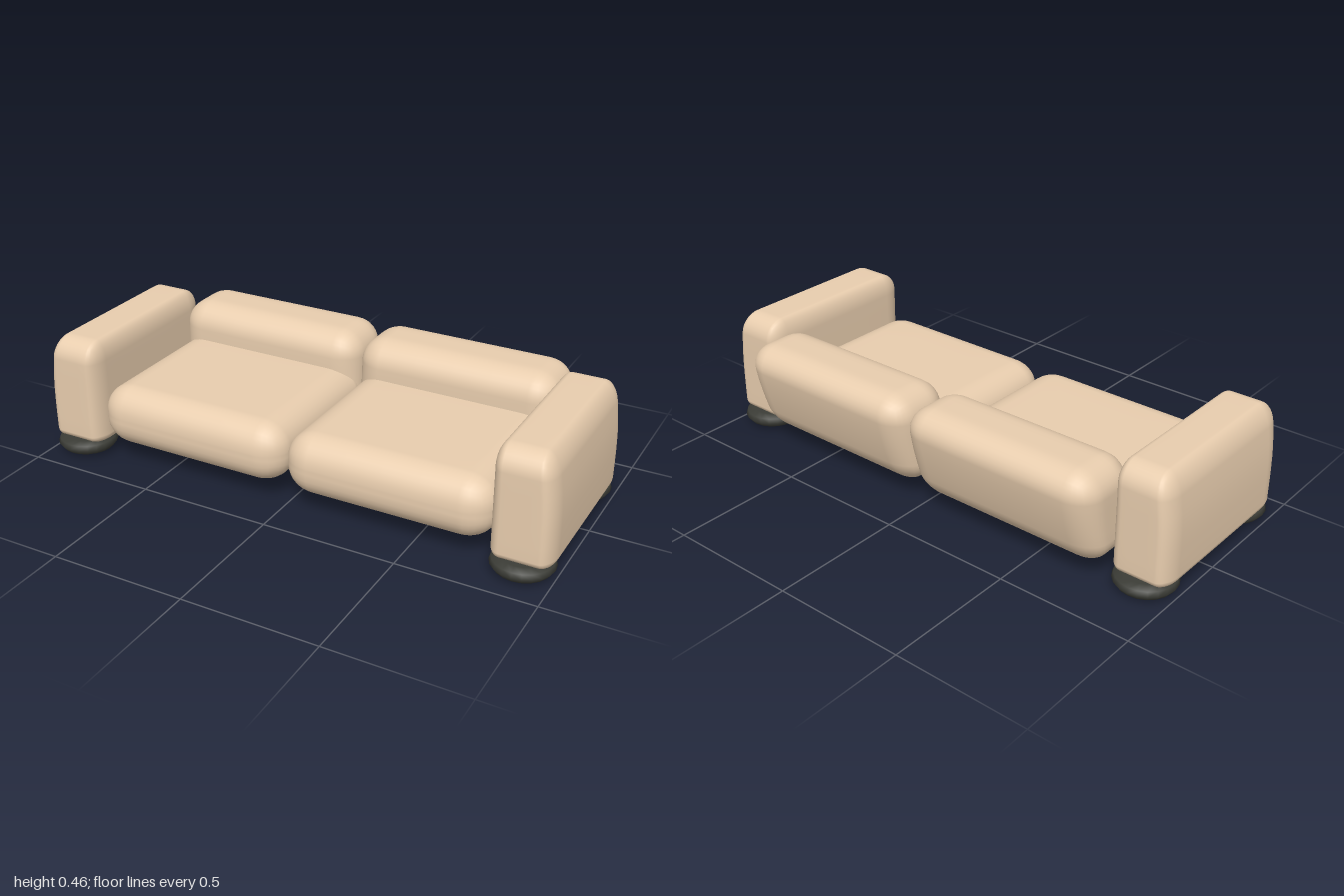
import * as THREE from 'three';
import { mergeVertices } from 'three/addons/utils/BufferGeometryUtils.js';

const fabric = new THREE.MeshStandardMaterial({ color: 0xe8cdae });
const rubber = new THREE.MeshStandardMaterial({ color: 0x3b3c36 });

const CORNER = 4; // steps in each rounded edge
const FLAT = 4;   // steps across each flat span
const STEPS = CORNER * 2 + FLAT;

// Splits a grid coordinate (-1..1) into a flat position and a rounding amount, both -1..1
function split(u) {
  const i = Math.round((u + 1) / 2 * STEPS) - STEPS / 2;
  const half = FLAT / 2;
  const flat = THREE.MathUtils.clamp(i, -half, half);
  return [flat / half, Math.tan((i - flat) / CORNER * Math.PI / 4)];
}

// Upholstered block between two corners, with edge radii per axis and a reshaping rule
function cushion(name, min, max, radius, reshape) {
  const box = new THREE.BoxGeometry(2, 2, 2, STEPS, STEPS, STEPS);
  box.deleteAttribute('normal');
  box.deleteAttribute('uv');
  const geometry = mergeVertices(box);
  const pos = geometry.attributes.position;
  const v = new THREE.Vector3();
  const n = new THREE.Vector3();
  for (let i = 0; i < pos.count; i++) {
    v.fromBufferAttribute(pos, i);
    const parts = v.toArray().map(split);
    n.fromArray(parts.map((p) => p[1])).normalize();
    const p = parts.map(([flat], a) => {
      const middle = (min[a] + max[a]) / 2;
      const core = (max[a] - min[a]) / 2 - radius[a];
      return middle + core * flat + radius[a] * n.getComponent(a);
    });
    v.fromArray(p);
    if (reshape) reshape(v, n);
    pos.setXYZ(i, v.x, v.y, v.z);
  }
  geometry.computeVertexNormals();
  const mesh = new THREE.Mesh(geometry, fabric);
  mesh.name = name;
  return mesh;
}

// Back cushion is thinner at the bottom, its rear sloping forward
function taperBack(v) {
  const front = -0.16;
  const t = THREE.MathUtils.clamp((v.y - 0.07) / 0.367, 0, 1);
  v.z = front + (v.z - front) * (1 - 0.34 * Math.pow(1 - t, 1.6));
}

// Arm has tight bottom edges and an outer face leaning in towards the top
function shapeArm(v, n) {
  const bottom = 0.058, r = 0.08;
  if (n.y < 0) {
    const flat = Math.hypot(n.x, n.z);
    if (flat > 1e-4) {
      const grow = (0.65 + 0.35 * flat) / flat - 1;
      v.x += 0.04 * n.x * grow;
      v.z += r * n.z * grow;
    }
    v.y = bottom + (v.y - bottom) * 0.4;
  }
  const outer = (v.x - 0.775) / 0.225;
  const t = THREE.MathUtils.clamp((v.y - 0.2) / 0.26, 0, 1);
  v.x -= 0.03 * outer * t * t;
}

// Squat round foot
const footProfile = [[0, 0], [0.058, 0], [0.098, 0.016], [0.112, 0.035], [0.106, 0.053], [0.08, 0.064], [0, 0.066]]
  .map(([x, y]) => new THREE.Vector2(x, y));
const footGeometry = new THREE.LatheGeometry(footProfile, 20);

function foot(name, z) {
  const mesh = new THREE.Mesh(footGeometry, rubber);
  mesh.name = name;
  mesh.position.set(0.885, 0, z);
  return mesh;
}

// One half of the sofa on the +x side; mirrored by swapping signs and winding
function half(side) {
  const group = new THREE.Group();
  group.name = side > 0 ? 'leftHalf' : 'rightHalf';
  group.add(
    cushion('seatCushion', [0, 0.068, -0.29], [0.78, 0.3, 0.4], [0.11, 0.1, 0.1]),
    cushion('backCushion', [0, 0.068, -0.45], [0.785, 0.437, -0.16], [0.1, 0.095, 0.1], taperBack),
    cushion('armrest', [0.775, 0.058, -0.3], [1, 0.462, 0.405], [0.045, 0.08, 0.08], shapeArm),
    foot('frontFoot', 0.335),
    foot('backFoot', -0.23),
  );
  group.scale.x = side;
  return group;
}

export function createModel() {
  const sofa = new THREE.Group();
  sofa.name = 'sofa';
  sofa.add(half(1), half(-1));
  return sofa;
}
